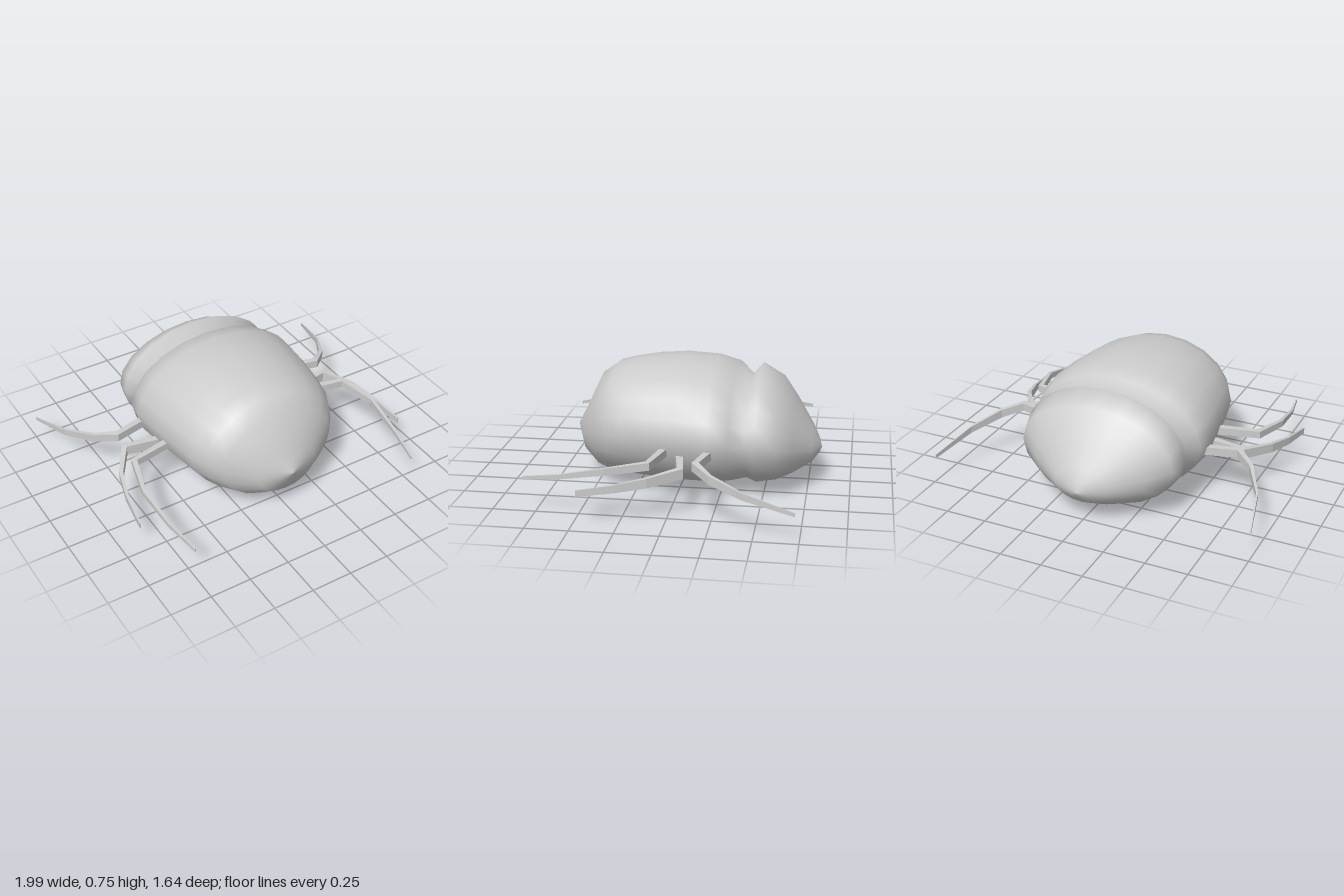
import * as THREE from 'three';
import { mergeVertices } from 'three/addons/utils/BufferGeometryUtils.js';

// Skin a list of equal-length closed rings (arrays of Vector3), closing both ends.
function loft(rings) {
  const n = rings[0].length, positions = [], index = [];
  rings.forEach(ring => ring.forEach(p => positions.push(p.x, p.y, p.z)));
  for (let i = 0; i < rings.length - 1; i++) {
    for (let j = 0; j < n; j++) {
      const a = i * n + j, b = i * n + (j + 1) % n;
      index.push(a, b, b + n, a, b + n, a + n);
    }
  }
  const last = (rings.length - 1) * n;
  for (let j = 1; j < n - 1; j++) {
    index.push(0, j + 1, j, last, last + j, last + j + 1);
  }
  const geometry = new THREE.BufferGeometry();
  geometry.setAttribute('position', new THREE.Float32BufferAttribute(positions, 3));
  geometry.setIndex(index);
  return geometry;
}

// Elliptical body section: [z, half width, top, bottom]
const SIDES = 20;
function bodyRing([z, w, top, bottom]) {
  return Array.from({ length: SIDES }, (_, i) => {
    const a = (i / SIDES) * Math.PI * 2;
    return new THREE.Vector3(
      Math.sin(a) * w,
      (top + bottom) / 2 + Math.cos(a) * (top - bottom) / 2,
      z
    );
  });
}

// Tail to head
const bodySections = [
  [0.662, 0.002, 0.302, 0.298],
  [0.595, 0.19, 0.43, 0.14],
  [0.5, 0.36, 0.63, 0.065],
  [0.41, 0.43, 0.695, 0.037],
  [0.32, 0.475, 0.717, 0.03],
  [0.18, 0.502, 0.742, 0.018],
  [0, 0.528, 0.755, 0.005],
  [-0.19, 0.55, 0.742, 0.01],
  [-0.31, 0.53, 0.708, 0.022],
  [-0.395, 0.442, 0.63, 0.036],
  [-0.455, 0.502, 0.702, 0.015],
  [-0.575, 0.475, 0.63, 0.04],
  [-0.665, 0.345, 0.51, 0.075],
  [-0.77, 0.17, 0.345, 0.135],
  [-0.81, 0.06, 0.268, 0.185],
  [-0.823, 0.002, 0.217, 0.213],
];

// Leg joints: [x, y, z, thickness, height], for the left side
const legs = {
  frontLeg: [
    [0.48, 0.305, -0.21, 0.042, 0.05], [0.71, 0.305, -0.155, 0.04, 0.05],
    [0.82, 0.275, -0.25, 0.024, 0.05], [0.925, 0.228, -0.44, 0.012, 0.04],
    [0.995, 0.168, -0.725, 0.004, 0.022],
  ],
  middleLeg: [
    [0.48, 0.262, -0.03, 0.042, 0.06], [0.71, 0.262, -0.07, 0.04, 0.06],
    [0.82, 0.238, 0.1, 0.024, 0.055], [0.87, 0.212, 0.27, 0.016, 0.046],
    [0.9, 0.185, 0.48, 0.008, 0.036],
  ],
  rearLeg: [
    [0.48, 0.305, 0.055, 0.042, 0.045], [0.735, 0.305, 0.108, 0.036, 0.045],
    [0.798, 0.282, 0.34, 0.022, 0.04], [0.78, 0.232, 0.6, 0.016, 0.026],
    [0.74, 0.2, 0.82, 0.008, 0.018],
  ],
};

// Rectangular strip following the joints, mitred sideways in the ground plane
function legGeometry(joints, side) {
  const points = joints.map(([x, y, z]) => new THREE.Vector3(x * side, y, z));
  const rings = points.map((p, i) => {
    const direction = (a, b) => b.clone().sub(a).setY(0).normalize();
    const before = direction(points[Math.max(i - 1, 0)], points[Math.max(i, 1)]);
    const end = points.length - 1;
    const after = direction(points[Math.min(i, end - 1)], points[Math.min(i + 1, end)]);
    const t = before.add(after).normalize();
    const across = new THREE.Vector3(t.z, 0, -t.x);
    const [, , , w, h] = joints[i];
    return [[1, 1], [-1, 1], [-1, -1], [1, -1]].map(([u, v]) =>
      p.clone().addScaledVector(across, -u * w / 2).add(new THREE.Vector3(0, v * h / 2, 0)));
  });
  // Ring order gives outward faces along the direction of travel
  rings.forEach(ring => ring.reverse());
  const geometry = loft(rings).toNonIndexed();
  geometry.computeVertexNormals();
  return geometry;
}

export function createModel() {
  const model = new THREE.Group();
  model.name = 'beetle';

  // Smooth shell with a pinched neck
  const shellMaterial = new THREE.MeshStandardMaterial({ color: 0xcccccc, side: THREE.DoubleSide });
  const bodyGeometry = mergeVertices(loft(bodySections.map(bodyRing)));
  bodyGeometry.computeVertexNormals();
  const body = new THREE.Mesh(bodyGeometry, shellMaterial);
  body.name = 'body';
  model.add(body);

  // Three pairs of thin, hard-edged legs
  const legMaterial = new THREE.MeshStandardMaterial({
    color: 0xcccccc, flatShading: true, side: THREE.DoubleSide,
  });
  for (const [name, joints] of Object.entries(legs)) {
    for (const side of [1, -1]) {
      const leg = new THREE.Mesh(legGeometry(joints, side), legMaterial);
      leg.name = name + (side > 0 ? 'Left' : 'Right');
      model.add(leg);
    }
  }
  return model;
}
